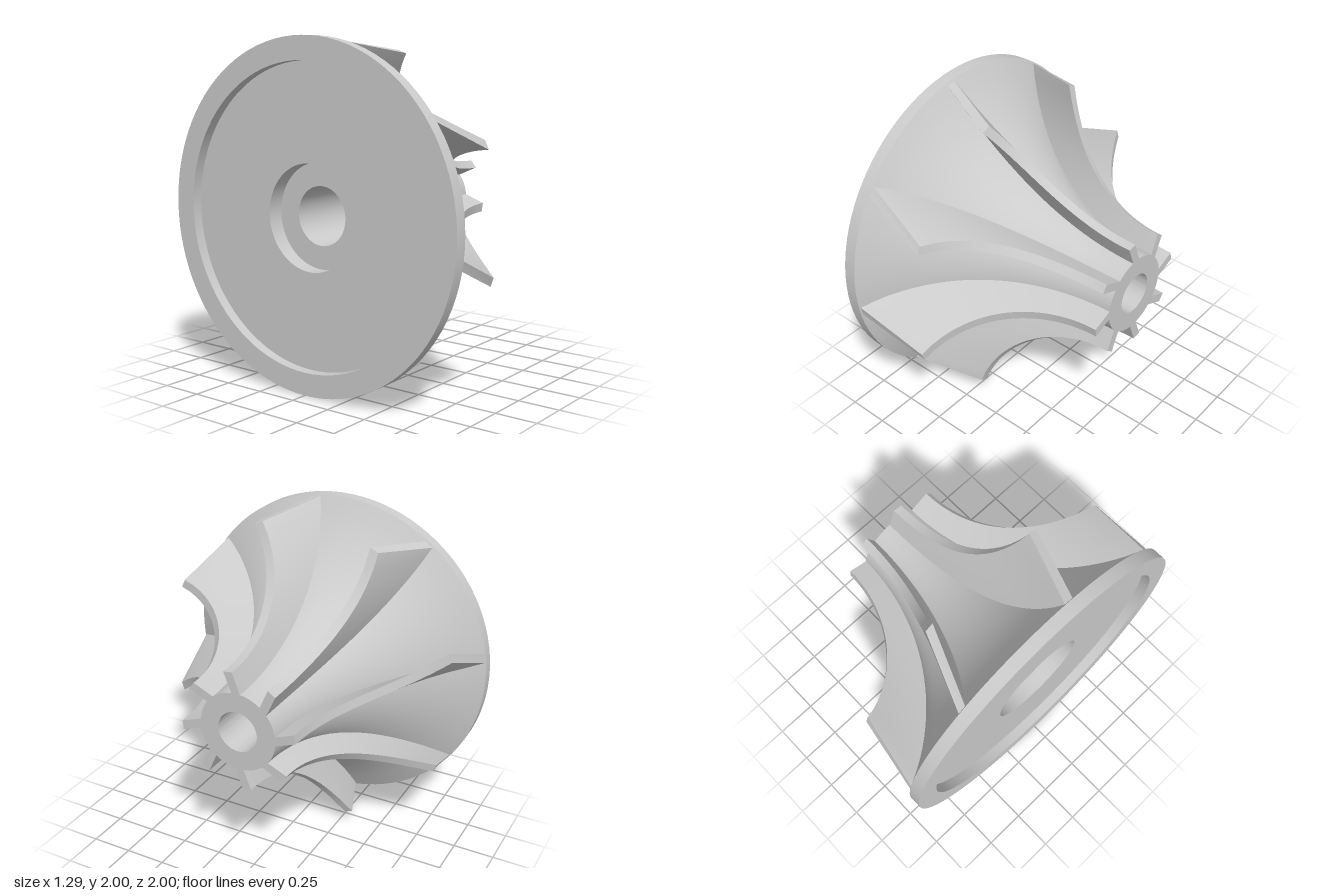
import * as THREE from 'three';
import { toCreasedNormals } from 'three/addons/utils/BufferGeometryUtils.js';

const BLADES = 8;
const THICK = 0.055;
const DEG = Math.PI / 180;
const lerp = THREE.MathUtils.lerp;

// Radius of a concave arc that runs level at the inlet end (x = 0.645)
const arcRadius = (x, r0, R) => r0 + R - Math.sqrt(R * R - (0.645 - x) ** 2);
const hubRadius = (x) => arcRadius(x, 0.238, 1.358);
const shroudRadius = (x) => arcRadius(x, 0.363, 0.838);

// Backplate, flared hub, stepped bore and rear recess in one turned profile
function hubGeometry() {
  const profile = [[1, -0.65], [1, -0.575]];
  const steps = 28;
  for (let i = 1; i <= steps; i++) {
    const x = lerp(-0.575, 0.645, i / steps);
    profile.push([hubRadius(x), x]);
  }
  profile.push([0.123, 0.645], [0.123, 0], [0.17, 0], [0.17, -0.49], [0.305, -0.49],
    [0.305, -0.588], [0.867, -0.588], [0.867, -0.65], [1, -0.65]);
  const geo = new THREE.LatheGeometry(profile.map(([r, x]) => new THREE.Vector2(r, x)), 96);
  geo.rotateZ(-Math.PI / 2);
  return toCreasedNormals(geo, 0.5);
}

// Swept blade: four-cornered sections ruled between the hub and shroud curves
function bladeGeometry() {
  const sections = 32;
  const pos = [];
  const index = [];
  const addPoint = (x, r, angle, side) => {
    const a = angle * DEG + side * Math.asin(THICK / 2 / r);
    pos.push(x, r * Math.cos(a), r * Math.sin(a));
  };
  for (let i = 0; i <= sections; i++) {
    const u = i / sections;
    const xb = lerp(-0.575, 0.645, u);
    const rb = hubRadius(xb);
    const baseAngle = 0.5 + (rb - 0.238) * 10.5;
    const xt = lerp(-0.159, 0.645, u);
    const rt = shroudRadius(xt);
    const tipAngle = 8.2 + 10.8 * Math.pow(Math.max(0, (rt - 0.363) / 0.602), 1.2);
    // root is sunk slightly into the hub
    const sunk = rb - 0.008;
    addPoint(xb, sunk, baseAngle, -1);
    addPoint(xb, sunk, baseAngle, 1);
    addPoint(xt, rt, tipAngle, 1);
    addPoint(xt, rt, tipAngle, -1);
  }
  for (let i = 0; i < sections; i++) {
    for (let k = 0; k < 4; k++) {
      const a = i * 4 + k;
      const a2 = i * 4 + ((k + 1) % 4);
      index.push(a, a + 4, a2, a + 4, a2 + 4, a2);
    }
  }
  const e = sections * 4;
  index.push(0, 1, 2, 0, 2, 3, e, e + 2, e + 1, e, e + 3, e + 2);
  const geo = new THREE.BufferGeometry();
  geo.setAttribute('position', new THREE.Float32BufferAttribute(pos, 3));
  geo.setIndex(index);
  return toCreasedNormals(geo, 0.5);
}

export function createModel() {
  const model = new THREE.Group();
  model.name = 'impeller';
  const material = new THREE.MeshStandardMaterial({ color: 0xcccccc });

  // Rotor turns about the x axis
  const rotor = new THREE.Group();
  rotor.name = 'rotor';
  rotor.position.y = 1;
  model.add(rotor);

  const hub = new THREE.Mesh(hubGeometry(), material);
  hub.name = 'hub';
  rotor.add(hub);

  // Ring of equal blades
  const bladeGeo = bladeGeometry();
  for (let i = 0; i < BLADES; i++) {
    const blade = new THREE.Mesh(bladeGeo, material);
    blade.name = `blade${i + 1}`;
    blade.rotation.x = (i / BLADES) * Math.PI * 2;
    rotor.add(blade);
  }
  return model;
}
